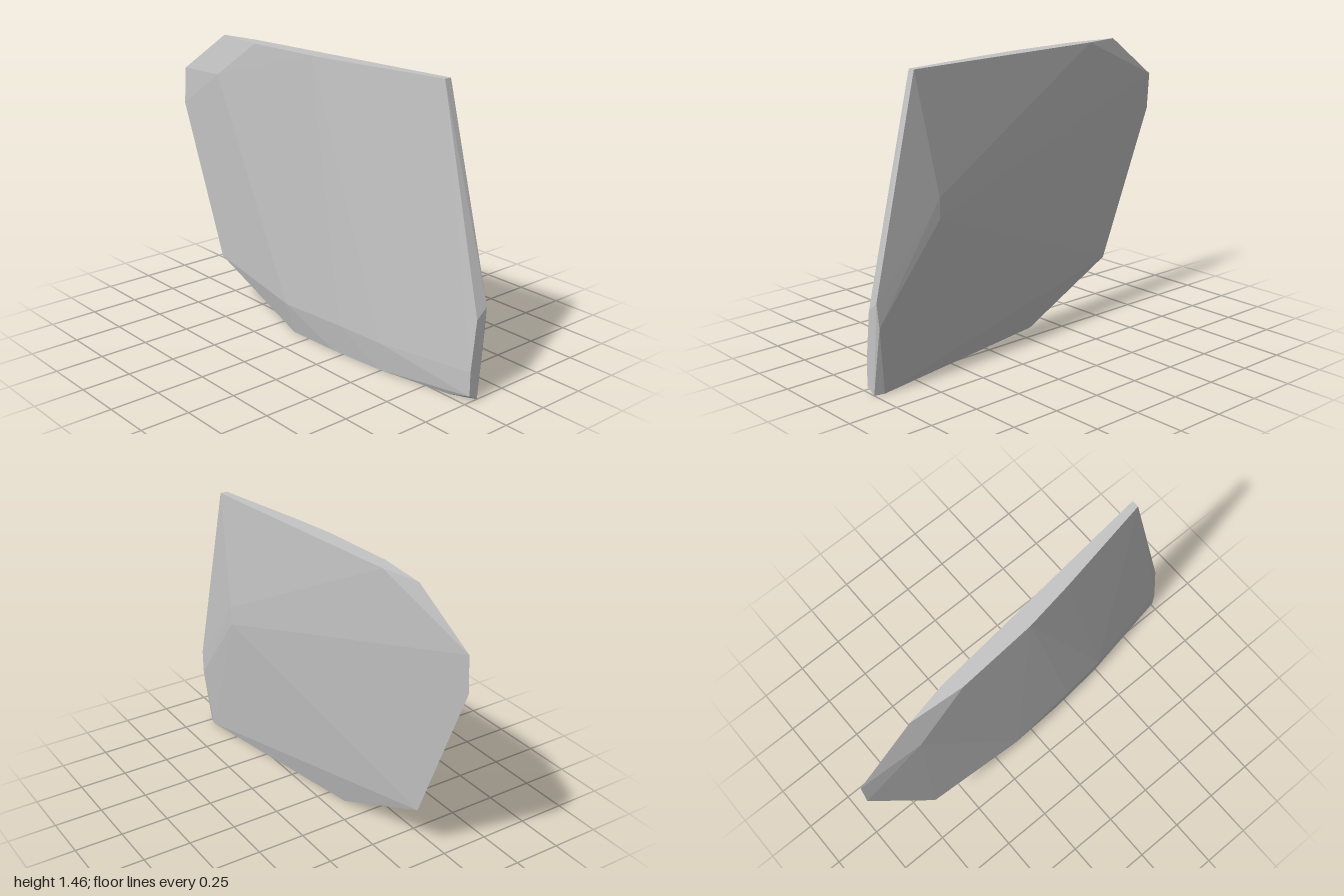
import * as THREE from 'three';
import { ConvexGeometry } from 'three/addons/geometries/ConvexGeometry.js';

// Corner loops of the faceted slab, each corner as [x, y, z]
const topRim = [
  [0.10, 1.46, 0.75], [-0.035, 1.46, -0.47], [-0.08, 1.46, -0.68],
  [-0.10, 1.46, -0.4], [-0.07, 1.46, 0], [-0.03, 1.46, 0.25], [0.063, 1.46, 0.75],
];
const frontEdge = [
  [0.06, 0.4, 1], [0.12, 0.45, 1], [0.124, 0.33, 0.99],
  [0.03, 0.15, 1], [0.03, 0.03, 1], [0.08, 0, 1],
];
const backEdge = [
  [-0.11, 1.24, -1], [-0.122, 1.05, -1], [-0.127, 0.26, -0.68],
];
const bottomRim = [
  [0.092, 0, 0.95], [-0.095, 0, -0.11],
  [-0.083, 0, 0.19], [-0.055, 0, 0.49], [0.02, 0, 0.88],
];
// Ridge on the left face, and the bowed line along the right face
const leftRidge = [[0.125, 0.87, 0.64], [0.125, 0.77, 0.64]];
const rightBow = [
  [-0.03, 0.14, 0.7], [-0.07, 0.15, 0.5], [-0.10, 0.16, 0.25],
  [-0.13, 0.16, -0.13], [-0.13, 1.26, -0.68],
];

export function createModel() {
  const group = new THREE.Group();
  group.name = 'stoneShard';

  const stone = new THREE.MeshStandardMaterial({ color: 0xc4c4c4 });
  stone.name = 'grey stone';

  // One solid chipped slab wrapped around all the corner loops
  const corners = [topRim, frontEdge, backEdge, bottomRim, leftRidge, rightBow]
    .flat()
    .map((p) => new THREE.Vector3(...p));
  const slab = new THREE.Mesh(new ConvexGeometry(corners), stone);
  slab.name = 'slab';
  group.add(slab);
  return group;
}
